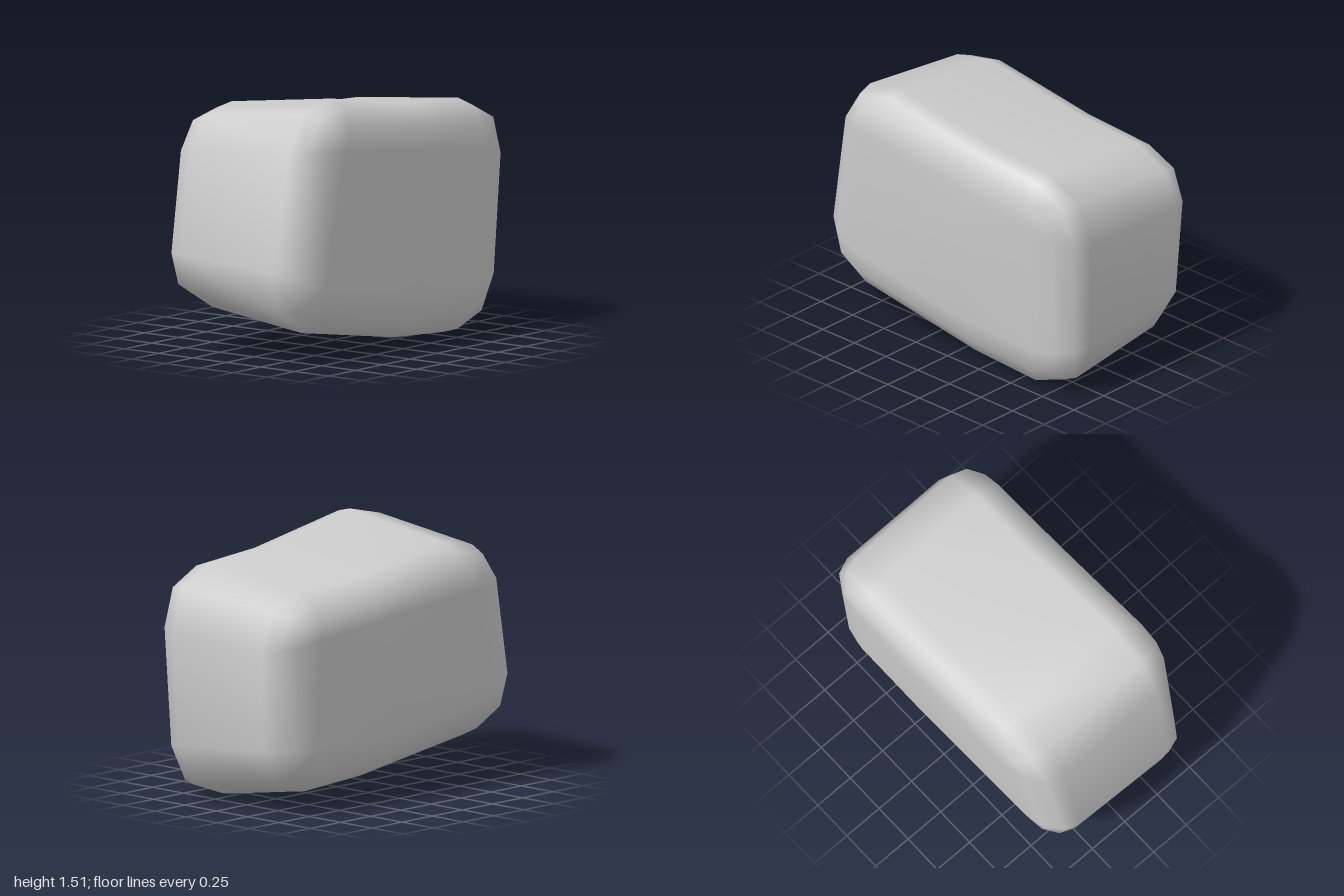
import * as THREE from 'three';
import { mergeVertices } from 'three/addons/utils/BufferGeometryUtils.js';

// Side outline as corners: core [z, y] and the rounded outline points [z, y] around it
const CORNERS = [
  { core: [0.74, 0.46], pts: [[0.72, 0.17], [0.94, 0.31], [1.0, 0.56]] },      // front bottom
  { core: [0.6, 1.22], pts: [[0.88, 1.23], [0.74, 1.45], [0.49, 1.51]] },      // front top
  { core: [-0.2, 1.13], pts: [[-0.2, 1.39]] },                                 // top dip
  { core: [-0.7, 1.07], pts: [[-0.68, 1.36], [-0.91, 1.25], [-1.0, 1.0]] },    // back top
  { core: [-0.69, 0.3], pts: [[-0.97, 0.33], [-0.85, 0.09], [-0.6, 0]] },      // back bottom
  { core: [-0.14, 0.31], pts: [[-0.14, 0.03]] },                               // underside bend
];

// Narrower towards the bottom, taller towards the left side
function place(x, y, z) {
  const px = x * (0.5 + 0.05 * y) / 0.56;
  const tilt = -0.16 + 0.19 * y;
  return [px, y + (px - 0.34) * tilt, z];
}

function boulderGeometry() {
  const outline = CORNERS.flatMap(({ core, pts }) => pts.map((p) => ({ core, p })));
  const n = outline.length;
  const positions = [];
  const index = [];

  // Cross-sections from right to left, shrinking onto the cores at both sides
  const angles = [-90, -60, -30, 0, 0, 30, 60, 90];
  angles.forEach((deg, i) => {
    const t = THREE.MathUtils.degToRad(deg);
    const x = (i < 4 ? -0.36 : 0.36) + 0.2 * Math.sin(t);
    for (const { core, p } of outline) {
      const z = core[0] + (p[0] - core[0]) * Math.cos(t);
      const y = core[1] + (p[1] - core[1]) * Math.cos(t);
      positions.push(...place(x, y, z));
    }
  });
  for (let i = 0; i < angles.length - 1; i++) {
    for (let j = 0; j < n; j++) {
      const k = (j + 1) % n;
      const a = i * n + j, b = i * n + k, c = a + n, d = b + n;
      index.push(a, c, b, b, c, d);
    }
  }

  // Flat side caps
  const last = (angles.length - 1) * n;
  const mid = positions.length / 3;
  positions.push(...place(-0.56, 0.75, 0), ...place(0.56, 0.75, 0));
  for (let j = 0; j < n; j++) {
    const k = (j + 1) % n;
    index.push(mid, j, k, mid + 1, last + k, last + j);
  }

  const geometry = new THREE.BufferGeometry();
  geometry.setAttribute('position', new THREE.Float32BufferAttribute(positions, 3));
  geometry.setIndex(index);
  const merged = mergeVertices(geometry, 1e-4);
  merged.computeVertexNormals();
  return merged;
}

export function createModel() {
  const group = new THREE.Group();
  group.name = 'boulder';
  const rock = new THREE.Mesh(boulderGeometry(), new THREE.MeshStandardMaterial({ color: 0xcccccc }));
  rock.name = 'rock';
  group.add(rock);
  return group;
}
